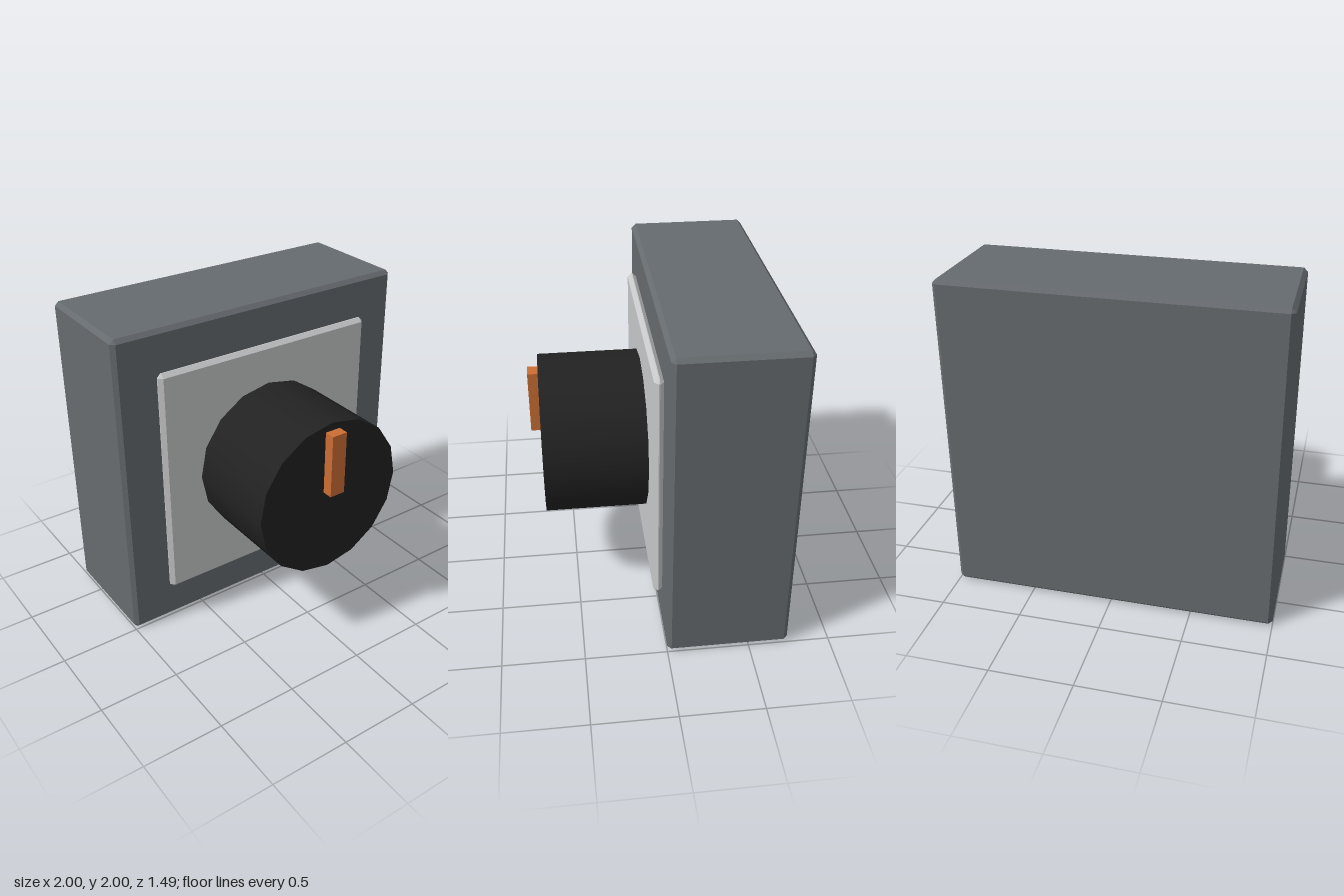
import * as THREE from 'three';
import { ConvexGeometry } from 'three/addons/geometries/ConvexGeometry.js';

// Box with every edge and corner chamfered by b
function chamferedBox(w, h, d, b) {
  const points = [];
  for (const sx of [-1, 1]) for (const sy of [-1, 1]) for (const sz of [-1, 1]) {
    const x = w / 2, y = h / 2, z = d / 2;
    points.push(
      new THREE.Vector3(sx * x, sy * (y - b), sz * (z - b)),
      new THREE.Vector3(sx * (x - b), sy * y, sz * (z - b)),
      new THREE.Vector3(sx * (x - b), sy * (y - b), sz * z)
    );
  }
  return new ConvexGeometry(points);
}

export function createModel() {
  const model = new THREE.Group();
  model.name = 'rotarySwitch';

  const material = (name, color) => {
    const m = new THREE.MeshStandardMaterial({ color });
    m.name = name;
    return m;
  };
  const add = (name, geometry, mat, y, z) => {
    const mesh = new THREE.Mesh(geometry, mat);
    mesh.name = name;
    mesh.position.set(0, y, z);
    model.add(mesh);
  };

  const housingGrey = material('housingGrey', 0x666b6f);
  const plateGrey = material('plateGrey', 0xc7c8c9);
  const knobBlack = material('knobBlack', 0x222222);
  const markerOrange = material('markerOrange', 0xcc6e34);

  // Housing block and raised face plate
  add('housing', chamferedBox(2, 2, 0.745, 0.025), housingGrey, 1, -0.3725);
  add('facePlate', chamferedBox(1.5, 1.5, 0.056, 0.025), plateGrey, 1, 0.027);

  // Sixteen-sided knob with its axis facing forward
  const knob = new THREE.CylinderGeometry(0.5, 0.5, 0.63, 16);
  knob.rotateX(Math.PI / 2);
  add('knob', knob, knobBlack, 1, 0.365);

  // Pointer on the knob's front
  add('pointer', new THREE.BoxGeometry(0.1, 0.4, 0.065), markerOrange, 1.25, 0.7125);

  return model;
}
